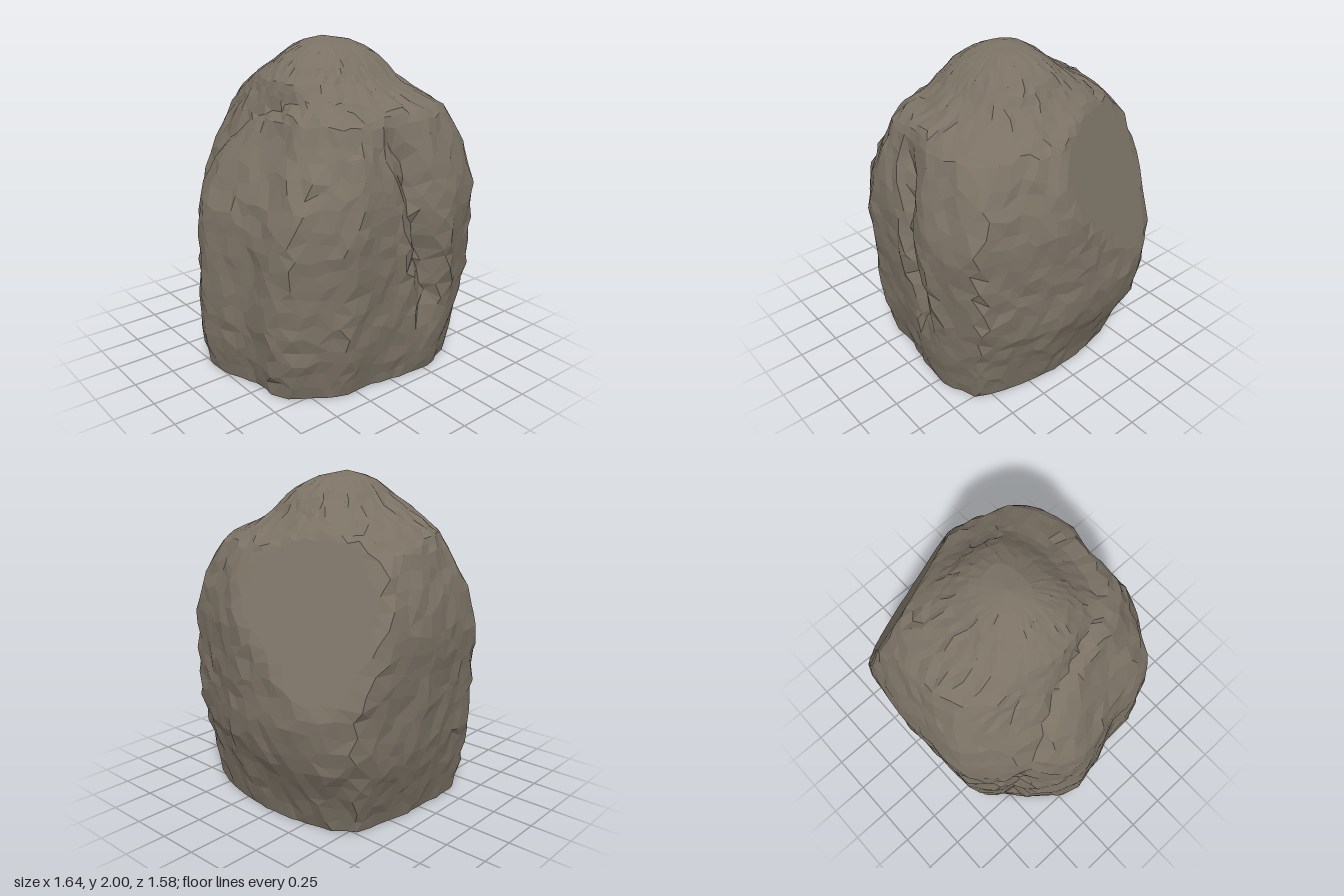
import * as THREE from 'three';

// Half-widths of the boulder by height: y, -x, +x, +z, -z
const PROFILE = [
  [0, 0.80, 0.70, 0.71, 0.69], [0.2, 0.83, 0.74, 0.75, 0.73], [0.6, 0.81, 0.82, 0.76, 0.75],
  [0.95, 0.79, 0.82, 0.79, 0.78], [1.12, 0.75, 0.82, 0.79, 0.79], [1.35, 0.63, 0.79, 0.73, 0.75],
  [1.5, 0.53, 0.72, 0.68, 0.70], [1.6, 0.48, 0.65, 0.63, 0.66], [1.65, 0.43, 0.57, 0.57, 0.63],
  [1.7, 0.40, 0.49, 0.44, 0.57], [1.78, 0.37, 0.41, 0.32, 0.43], [1.85, 0.30, 0.36, 0.26, 0.31],
  [1.91, 0.23, 0.30, 0.19, 0.25], [1.96, 0.14, 0.21, 0.10, 0.18], [1.98, 0.08, 0.15, 0.06, 0.13],
];

// Outline of the boulder at its widest, as x and z, going round from the front
const PLAN = [
  [0.07, 0.757], [0.34, 0.785], [0.635, 0.66], [0.72, 0.42], [0.80, 0.18], [0.815, 0], [0.82, -0.34],
  [0.78, -0.52], [0.64, -0.71], [0.47, -0.756], [0.19, -0.79], [0, -0.78], [-0.39, -0.75], [-0.60, -0.55],
  [-0.80, -0.27], [-0.83, -0.15], [-0.80, 0.02], [-0.735, 0.21], [-0.735, 0.43], [-0.66, 0.56], [-0.36, 0.735], [-0.15, 0.73],
];

// Crack that separates the front slab from the main mass
const CRACK = [
  [-0.56, 0.05, -0.55], [-0.60, 0.7, -0.52], [-0.55, 1.2, -0.36], [-0.46, 1.55, -0.12],
  [-0.34, 1.66, 0.15], [-0.13, 1.66, 0.36], [0, 1.52, 0.62], [0.08, 1.15, 0.76], [0.2, 0.6, 0.76], [0.23, 0.4, 0.75],
].map(p => new THREE.Vector3(...p));

const { smoothstep, clamp, lerp } = THREE.MathUtils;

function seeded(seed) {
  return () => {
    seed = (seed * 1664525 + 1013904223) % 4294967296;
    return seed / 4294967296;
  };
}

function widthsAt(y) {
  let k = 0;
  while (k < PROFILE.length - 2 && PROFILE[k + 1][0] < y) k++;
  const a = PROFILE[k], b = PROFILE[k + 1];
  const t = clamp((y - a[0]) / (b[0] - a[0]), 0, 1);
  return a.map((v, i) => lerp(v, b[i], t));
}

// Where a ray (s, c) from the axis meets the outline
function planRadius(s, c) {
  for (let i = 0; i < PLAN.length; i++) {
    const [ax, az] = PLAN[i], [bx, bz] = PLAN[(i + 1) % PLAN.length];
    const da = ax * c - az * s, db = bx * c - bz * s;
    if (da <= 0 && db > 0) {
      const t = da / (da - db);
      return lerp(ax, bx, t) * s + lerp(az, bz, t) * c;
    }
  }
  return 0.8;
}

// The plan outline on the sides, turning into a rounded dome at the top
function body(angle, y) {
  const s = Math.sin(angle), c = Math.cos(angle);
  const [, left, right, front, back] = widthsAt(y);
  const wx = 0.5 + 0.5 * s, wz = 0.5 + 0.5 * c;
  const ex = s > 0 ? right : left, ez = c > 0 ? front : back;
  const n = 2.15 + wx * wz;
  const r = Math.pow(Math.pow(Math.abs(s) / ex, n) + Math.pow(Math.abs(c) / ez, n), -1 / n);
  const dome = new THREE.Vector3(s * r, y, c * r);
  // Two of the corners draw in towards the foot
  const foot = 1 - smoothstep(y, 0, 0.55);
  const tuck = 1 - foot * (0.18 * wx * (1 - wz) + 0.09 * wz * (1 - wx));
  const q = planRadius(s, c) * tuck;
  const side = new THREE.Vector3(s * q * ex / (s > 0 ? 0.82 : 0.83), y, c * q * ez / 0.785);
  return side.lerp(dome, smoothstep(y, 1.4, 1.72));
}

// Pull a point in towards the axis until it lies on the plane
function chisel(p, plane, strength) {
  const over = plane.distanceToPoint(p);
  const out = plane.normal.x * p.x + plane.normal.z * p.z;
  if (over > 0 && out > 0.05) {
    const k = Math.max(0.6, 1 - strength * over / out);
    p.x *= k;
    p.z *= k;
  }
}

// Shallow facets struck off the sides
function makeFacets(count, rand) {
  return Array.from({ length: count }, () => {
    const a = rand() * Math.PI * 2, y = 0.05 + rand() * 1.45;
    const centre = body(a, y);
    const du = body(a + 0.1, y).sub(body(a - 0.1, y));
    const dv = body(a, y + 0.05).sub(body(a, y - 0.05));
    const normal = du.cross(dv).normalize();
    centre.addScaledVector(normal, -rand() * 0.01);
    return { centre, plane: new THREE.Plane().setFromNormalAndCoplanarPoint(normal, centre) };
  });
}

// Distance from a point to the crack line
function crackGap(p) {
  const line = new THREE.Line3(), near = new THREE.Vector3();
  let gap = Infinity;
  for (let k = 0; k < CRACK.length - 1; k++) {
    line.set(CRACK[k], CRACK[k + 1]).closestPointToPoint(p, true, near);
    gap = Math.min(gap, near.distanceTo(p));
  }
  return gap;
}

function createBoulderGeometry() {
  const rand = seeded(71);
  const facets = makeFacets(45, rand);
  // Large clean break on the left rear
  const breakPlane = new THREE.Plane(new THREE.Vector3(0.87, 0.36, -0.34), -1.115);
  const core = new THREE.Vector3(0, 0.9, 0);
  const segs = 60, lower = 19, upper = 10, rings = lower + upper;
  const positions = [], index = [];

  for (let j = 0; j <= rings; j++) {
    const inner = j > 0 && j < rings;
    const baseY = j <= lower ? 1.58 * j / lower : lerp(1.58, 1.97, (j - lower) / upper);
    for (let i = 0; i < segs; i++) {
      const y = baseY + (inner ? (rand() - 0.5) * (j < lower ? 0.055 : 0.02) : 0);
      const p = body((i + 0.5 * (j % 2) + (rand() - 0.5) * 0.55) / segs * Math.PI * 2, y);
      for (const f of facets) {
        chisel(p, f.plane, 1 - smoothstep(f.centre.distanceTo(p), 0.15, 0.35));
      }
      const broken = y > 0.6 && breakPlane.distanceToPoint(p) > -0.005;
      chisel(p, breakPlane, 1);
      // Carve the crack and roughen the rest
      const depth = 0.09 * Math.exp(-((crackGap(p) / 0.06) ** 2)) * (j ? 1 : 0.3);
      const rough = broken ? 0 : (rand() - 0.5) * 0.022 * Math.min(1, Math.hypot(p.x, p.z) / 0.6);
      const inward = core.clone().sub(p);
      if (!inner) inward.y = 0;
      p.addScaledVector(inward.normalize(), depth + rough);
      positions.push(p.x, p.y, p.z);
    }
  }
  const bottom = positions.length / 3, top = bottom + 1;
  positions.push(0, 0, 0, 0.01, 2, -0.04);
  for (let i = 0; i < segs; i++) {
    const n = (i + 1) % segs;
    for (let j = 0; j < rings; j++) {
      const a = j * segs + i, b = j * segs + n, c = b + segs, d = a + segs;
      if (j % 2) index.push(a, b, c, a, c, d);
      else index.push(a, b, d, b, c, d);
    }
    index.push(bottom, n, i, top, rings * segs + i, rings * segs + n);
  }
  const geometry = new THREE.BufferGeometry();
  geometry.setAttribute('position', new THREE.Float32BufferAttribute(positions, 3));
  geometry.setIndex(index);
  geometry.computeVertexNormals();
  return geometry;
}

export function createModel() {
  const group = new THREE.Group();
  group.name = 'rock';
  const stone = new THREE.MeshStandardMaterial({ color: 0x7b7265, flatShading: true });
  const boulder = new THREE.Mesh(createBoulderGeometry(), stone);
  boulder.name = 'boulder';
  group.add(boulder);
  return group;
}
